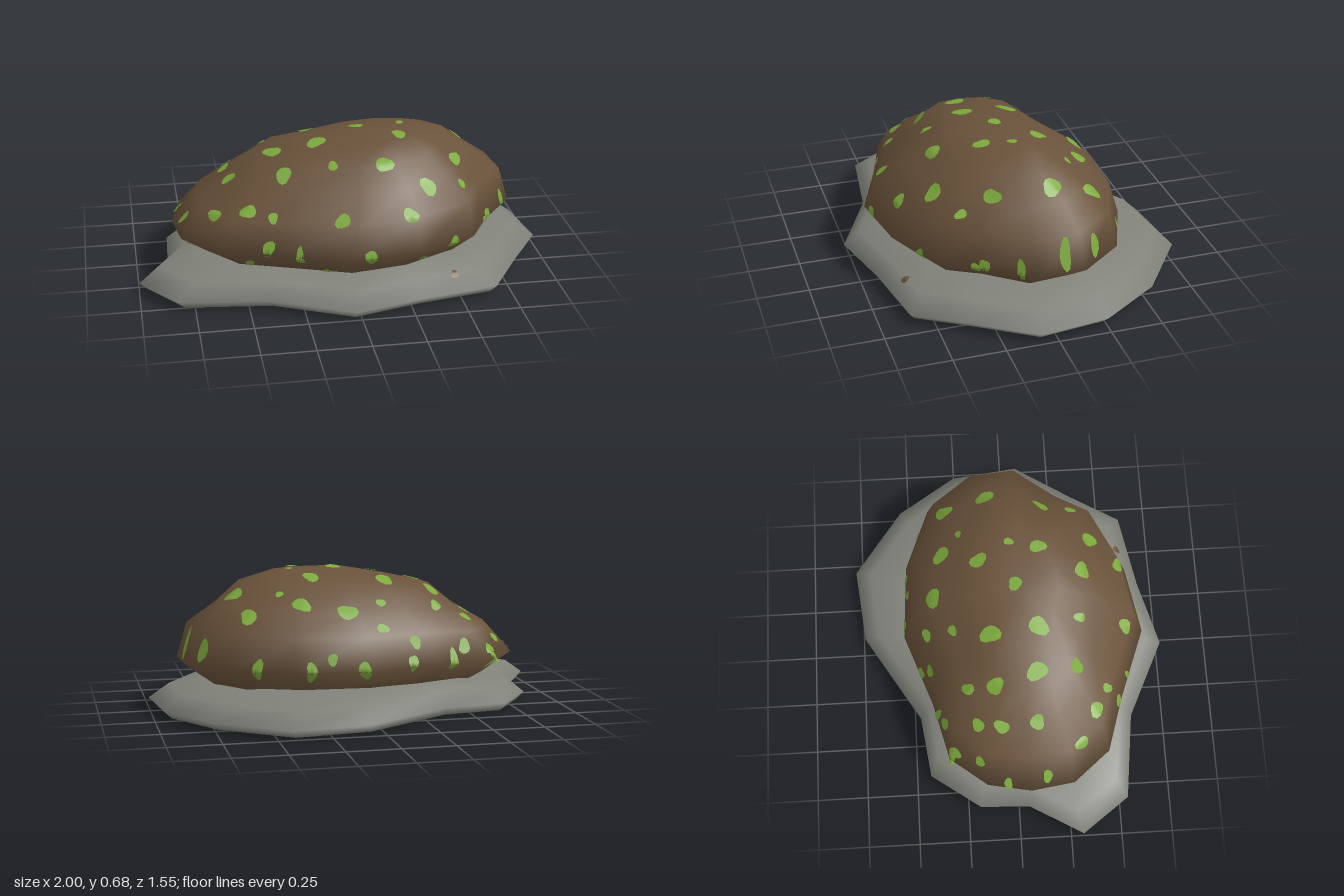
import * as THREE from 'three';

const material = (name, color) => Object.assign(new THREE.MeshStandardMaterial({ color }), { name });

// Outlines as [x, z] corners, counter-clockwise seen from above
const SLAB = [[-1, .31], [-.83, .54], [-.41, .59], [-.03, .77], [.3, .68], [.67, .61], [.82, .36], [1, .08],
  [.96, -.25], [.77, -.54], [.44, -.78], [.07, -.74], [-.37, -.47], [-.67, -.43], [-.84, -.19], [-.85, .05]];
const MOUND = [[-.79, .27], [-.64, .45], [-.38, .53], [-.03, .66], [.3, .6], [.59, .46], [.69, .28], [.86, .06],
  [.84, -.18], [.68, -.39], [.37, -.51], [0, -.53], [-.36, -.4], [-.64, -.33], [-.78, -.15], [-.82, .06]];

// Skin stacked rings of points and close both ends with a fan
function loft(rings, bottom, top) {
  const n = rings[0].length;
  const pos = [...rings.flat(), bottom, top].flat();
  const b = rings.length * n, t = b + 1, index = [];
  for (let i = 0; i < n; i++) {
    const j = (i + 1) % n;
    for (let r = 0; r < rings.length - 1; r++) {
      const lo = r * n, hi = lo + n;
      index.push(lo + i, lo + j, hi + j, lo + i, hi + j, hi + i);
    }
    index.push(j, i, b, b - n + i, b - n + j, t);
  }
  const g = new THREE.BufferGeometry();
  g.setAttribute('position', new THREE.Float32BufferAttribute(pos, 3));
  g.setIndex(index);
  g.computeVertexNormals();
  return g;
}

function slabGeometry() {
  const levels = [[0, .85], [.012, .96], [.05, 1], [.12, .9], [.16, .66]]; // height, scale
  return loft(levels.map(([y, s]) => SLAB.map(([x, z]) => [x * s, y, z * s])), [0, 0, 0], [0, .165, 0]);
}

function moundGeometry() {
  // height, then x and z extents of each ring
  const levels = [[.12, -.63, .68, -.42, .53], [.25, -.82, .86, -.53, .66], [.4, -.7, .81, -.48, .61],
    [.5, -.53, .67, -.38, .48], [.6, -.41, .55, -.24, .38], [.65, -.2, .38, -.12, .24]];
  const rings = levels.map(([y, x0, x1, z0, z1]) => MOUND.map(([x, z]) => [
    THREE.MathUtils.mapLinear(x, -.82, .86, x0, x1),
    y + (y > .3 ? .025 * x : 0),
    THREE.MathUtils.mapLinear(z, -.53, .66, z0, z1)]));
  return loft(rings, [0, .12, 0], [.06, .68, .07]);
}

const raycaster = new THREE.Raycaster();
function cast(mesh, origin, dir) {
  raycaster.set(origin, dir);
  return raycaster.intersectObject(mesh)[0];
}

// Thin uneven patch draped over a surface, found by a ray along dir
function patch(target, origin, dir, w, h, mat, seed) {
  const hit = cast(target, origin, dir);
  if (!hit) return null;
  const n = hit.face.normal.clone();
  const ref = Math.abs(dir.y) > .5 ? new THREE.Vector3(0, 0, -1) : new THREE.Vector3(0, 1, 0);
  const u = ref.clone().cross(n).normalize(), v = n.clone().cross(u);
  const back = n.clone().negate();
  const drape = (a, b) => {
    const p = hit.point.clone().addScaledVector(u, a).addScaledVector(v, b);
    const q = cast(target, p.clone().addScaledVector(n, .15), back);
    return (q ? q.point : p).clone().addScaledVector(n, .005).toArray();
  };
  const sides = 12, pos = [drape(0, 0)], index = [];
  for (const k of [.5, 1]) for (let i = 0; i < sides; i++) {
    const a = i / sides * Math.PI * 2;
    const wobble = k * (1 + .14 * Math.sin(2 * a + seed) + .1 * Math.sin(3 * a + seed * 2.3));
    pos.push(drape(Math.cos(a) * w * wobble, Math.sin(a) * h * wobble));
  }
  for (let i = 0; i < sides; i++) {
    const a = 1 + i, b = 1 + (i + 1) % sides;
    index.push(0, a, b, a, a + sides, b + sides, a, b + sides, b);
  }
  const g = new THREE.BufferGeometry();
  g.setAttribute('position', new THREE.Float32BufferAttribute(pos.flat(), 3));
  g.setIndex(index);
  g.computeVertexNormals();
  return new THREE.Mesh(g, mat);
}

// Moss spots seen from above: x, z, radius
const TOP = [[.1, -.37, .045], [.31, -.32, .042], [.56, -.3, .042], [-.08, -.28, .025], [-.22, -.4, .03],
  [-.48, -.34, .033], [-.62, -.3, .03], [-.53, -.18, .03], [-.38, -.09, .04], [-.14, -.1, .045],
  [-.55, -.07, .033], [-.54, .1, .035], [-.33, .11, .045], [-.37, -.22, .03], [-.12, .13, .045],
  [.09, .03, .032], [.23, -.14, .038], [.31, .01, .02], [.4, -.23, .018], [.6, -.09, .045], [.28, .15, .035],
  [.55, .18, .037], [.17, .36, .04], [.37, .41, .042], [-.07, .33, .025], [-.3, .3, .037], [-.48, .39, .036],
  [-.63, .31, .032], [-.37, .45, .025], [-.06, .56, .035], [.26, .55, .035], [.55, .33, .025],
  [.2, -.5, .025], [-.68, -.18, .025]];
// Moss spots low on the sides: along, height, half width, half height
const FRONT = [[.06, .26, .03, .035], [-.26, .24, .025, .032], [-.4, .28, .028, .038], [.48, .24, .03, .035],
  [.33, .18, .025, .025], [-.48, .18, .025, .03], [-.13, .16, .018, .02], [.68, .25, .022, .03]];
const BACK = [[-.64, .26, .022, .035], [-.42, .25, .025, .035], [-.2, .27, .025, .04], [.05, .26, .03, .04],
  [.3, .26, .028, .04], [.54, .27, .025, .045], [-.06, .43, .03, .03]];
const LEFT = [[.12, .28, .021, .055], [-.08, .34, .03, .075], [-.24, .33, .028, .06], [.26, .27, .024, .033]];
const RIGHT = [[-.05, .27, .022, .03], [.14, .3, .024, .035], [.3, .24, .022, .03]];

export function createModel() {
  const stone = material('stone grey', 0x80827a);
  const earth = material('earth brown', 0x69523a);
  const moss = material('moss green', 0x7caa3c);
  const model = new THREE.Group();
  model.name = 'mossyMound';

  const slab = new THREE.Mesh(slabGeometry(), stone);
  slab.name = 'stoneSlab';
  const mound = new THREE.Mesh(moundGeometry(), earth);
  mound.name = 'mound';

  const spots = new THREE.Group();
  spots.name = 'mossSpots';
  const V = (x, y, z) => new THREE.Vector3(x, y, z);
  let seed = 0;
  const addSpot = (origin, dir, w, h) => {
    const spot = patch(mound, origin, dir, w, h, moss, seed += 1.7);
    if (!spot) return;
    spot.name = 'mossSpot';
    spots.add(spot);
  };
  TOP.forEach(([x, z, r]) => addSpot(V(x, 2, z), V(0, -1, 0), r, r * 1.1));
  FRONT.forEach(([x, y, w, h]) => addSpot(V(x, y, 2), V(0, 0, -1), w, h));
  BACK.forEach(([x, y, w, h]) => addSpot(V(x, y, -2), V(0, 0, 1), w, h));
  LEFT.forEach(([z, y, w, h]) => addSpot(V(2, y, z), V(-1, 0, 0), w, h));
  RIGHT.forEach(([z, y, w, h]) => addSpot(V(-2, y, z), V(1, 0, 0), w, h));

  // Small crumb of earth lying on the slab
  const crumb = patch(slab, V(.47, 2, .58), V(0, -1, 0), .017, .024, earth, 1);
  crumb.name = 'earthCrumb';

  model.add(slab, mound, spots, crumb);
  return model;
}
